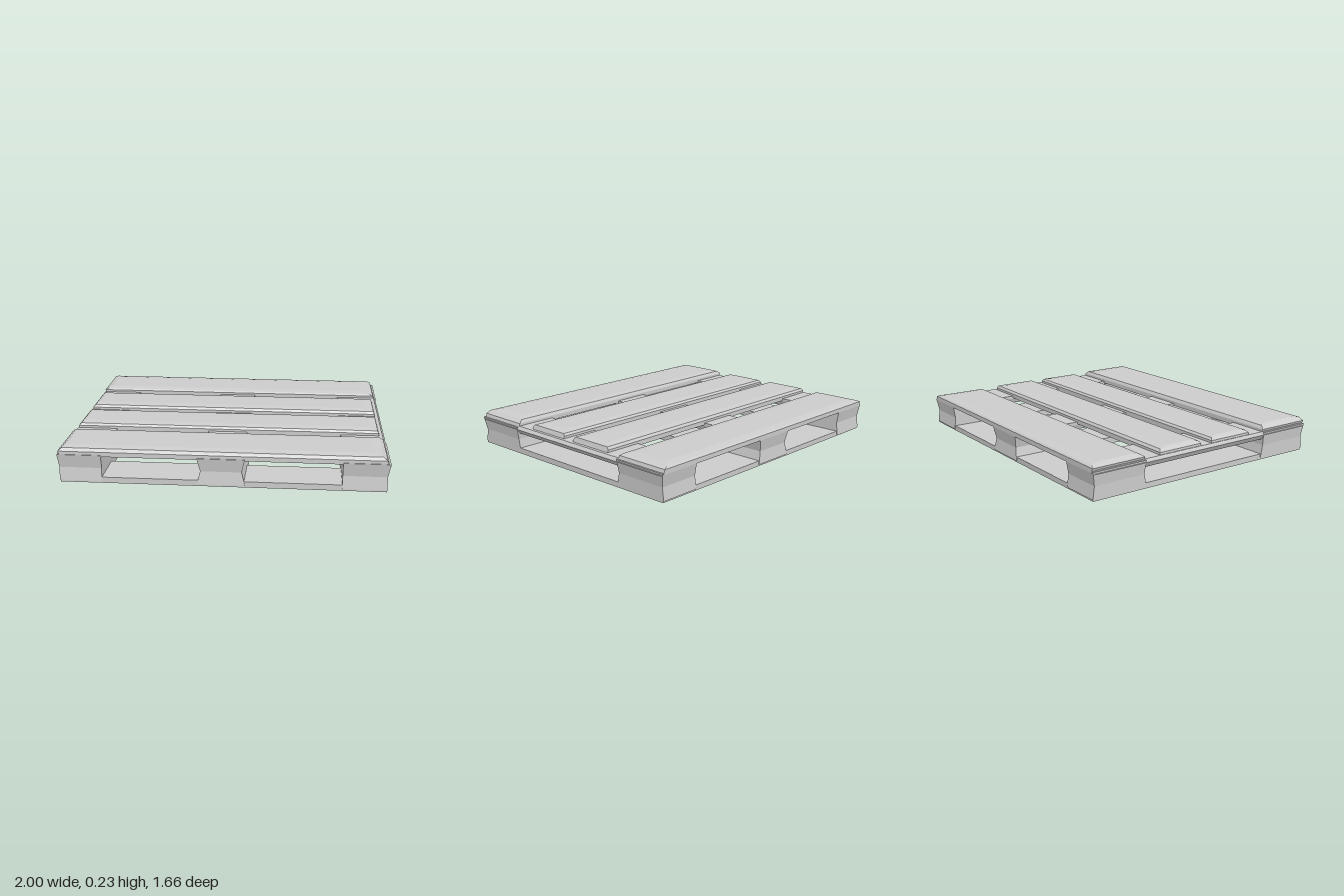
import * as THREE from 'three';

const wood = new THREE.MeshStandardMaterial({ color: 0xcccccc, flatShading: true });
wood.name = 'pale grey wood';
const thinWood = new THREE.MeshStandardMaterial({ color: 0xcccccc, flatShading: true, side: THREE.DoubleSide });
thinWood.name = 'pale grey splinter';

// Closed solid lofted through rings of four corners; ring = [y, x0, x1, z0, z1], listed bottom to top
function loft(name, rings) {
  const pos = [], idx = [];
  for (const [y, x0, x1, z0, z1] of rings) {
    pos.push(x0, y, z1, x1, y, z1, x1, y, z0, x0, y, z0);
  }
  const last = (rings.length - 1) * 4;
  for (let r = 0; r < last; r += 4) {
    for (let i = 0; i < 4; i++) {
      const a = r + i, b = r + (i + 1) % 4;
      idx.push(a, b, b + 4, a, b + 4, a + 4);
    }
  }
  idx.push(0, 2, 1, 0, 3, 2, last, last + 1, last + 2, last, last + 2, last + 3);
  const geo = new THREE.BufferGeometry();
  geo.setAttribute('position', new THREE.Float32BufferAttribute(pos, 3));
  geo.setIndex(idx);
  geo.computeVertexNormals();
  const mesh = new THREE.Mesh(geo, wood);
  mesh.name = name;
  return mesh;
}

// Base frame with two long openings either side of the middle runner
function baseFrame() {
  const rect = (P, x0, x1, z0, z1) => new P([[x0, z0], [x1, z0], [x1, z1], [x0, z1]].map(p => new THREE.Vector2(...p)));
  const shape = rect(THREE.Shape, -0.985, 0.985, -0.82, 0.82);
  shape.holes.push(rect(THREE.Path, -0.73, -0.14, -0.55, 0.55), rect(THREE.Path, 0.13, 0.72, -0.55, 0.55));
  const geo = new THREE.ExtrudeGeometry(shape, { depth: 0.043, bevelEnabled: false });
  geo.rotateX(-Math.PI / 2);
  // Worn, slightly lifted outer corners
  const p = geo.attributes.position;
  for (let i = 0; i < p.count; i++) {
    if (p.getY(i) < 0.01 && Math.abs(p.getX(i)) > 0.9) p.setY(i, p.getZ(i) > 0 ? 0.006 : 0.01);
  }
  geo.computeVertexNormals();
  const mesh = new THREE.Mesh(geo, wood);
  mesh.name = 'baseFrame';
  return mesh;
}

// Small torn wedge of wood below the deck
function splinter(points) {
  const geo = new THREE.BufferGeometry();
  geo.setAttribute('position', new THREE.Float32BufferAttribute(points, 3));
  geo.computeVertexNormals();
  const mesh = new THREE.Mesh(geo, thinWood);
  mesh.name = 'splinter';
  return mesh;
}

export function createModel() {
  const pallet = new THREE.Group();
  pallet.name = 'pallet';
  pallet.add(baseFrame());

  // Three columns: blocks front and back, joined by an upper stringer
  const columns = [['right', -0.99, -0.73], ['middle', -0.13, 0.12], ['left', 0.72, 0.985]];
  for (const [side, x0, x1] of columns) {
    const out0 = side === 'right' ? 0.01 : 0, out1 = side === 'left' ? 0.015 : 0;
    const mid = side === 'middle' ? 0.02 : 0;
    for (const s of [-1, 1]) {
      const z = (inner, outer) => (s > 0 ? [inner, outer] : [-outer, -inner]);
      pallet.add(loft(side + (s > 0 ? 'FrontBlock' : 'BackBlock'), [
        [0.02, x0 - mid, x1 + mid, ...z(0.455, 0.825)],
        [0.1, x0, x1, ...z(0.47, 0.815)],
        [0.185, x0 - out0 - mid, x1 + out1 + mid, ...z(0.465, 0.83)],
      ]));
    }
    pallet.add(loft(side + 'Stringer', [
      [0.138, x0 + 0.01, x1 - 0.01, -0.8, 0.8],
      [0.17, x0 - out0, x1 + out1, -0.82, 0.82],
      [0.19, x0, x1, -0.81, 0.81],
    ]));
  }

  // Four deck boards with worn, sloping edges: [back z, front z, top height]
  const boards = [[-0.83, -0.47, 0.222], [-0.355, -0.045, 0.228], [0.04, 0.345, 0.226], [0.46, 0.825, 0.232]];
  boards.forEach(([z0, z1, top], i) => {
    const outer = i === 0 || i === 3;
    const x1 = outer ? 0.99 : 0.97;
    pallet.add(loft('deckBoard', [
      [0.176, -0.985, x1, z0, z1],
      [0.205, outer ? -0.995 : -0.985, x1 - 0.01, z0, z1],
      [top - 0.007, -0.97, 0.955, z0 + 0.012, z1 - 0.012],
      [top, -0.95, 0.9, z0 + 0.06, z1 - 0.06],
    ]));
  });

  // Torn wood in the front gap
  pallet.add(splinter([-0.78, 0.178, 0.345, -0.1, 0.165, 0.405, 0.12, 0.178, 0.345]));
  pallet.add(splinter([-0.7, 0.176, 0.462, 0.12, 0.176, 0.462, -0.1, 0.165, 0.405]));

  return pallet;
}
